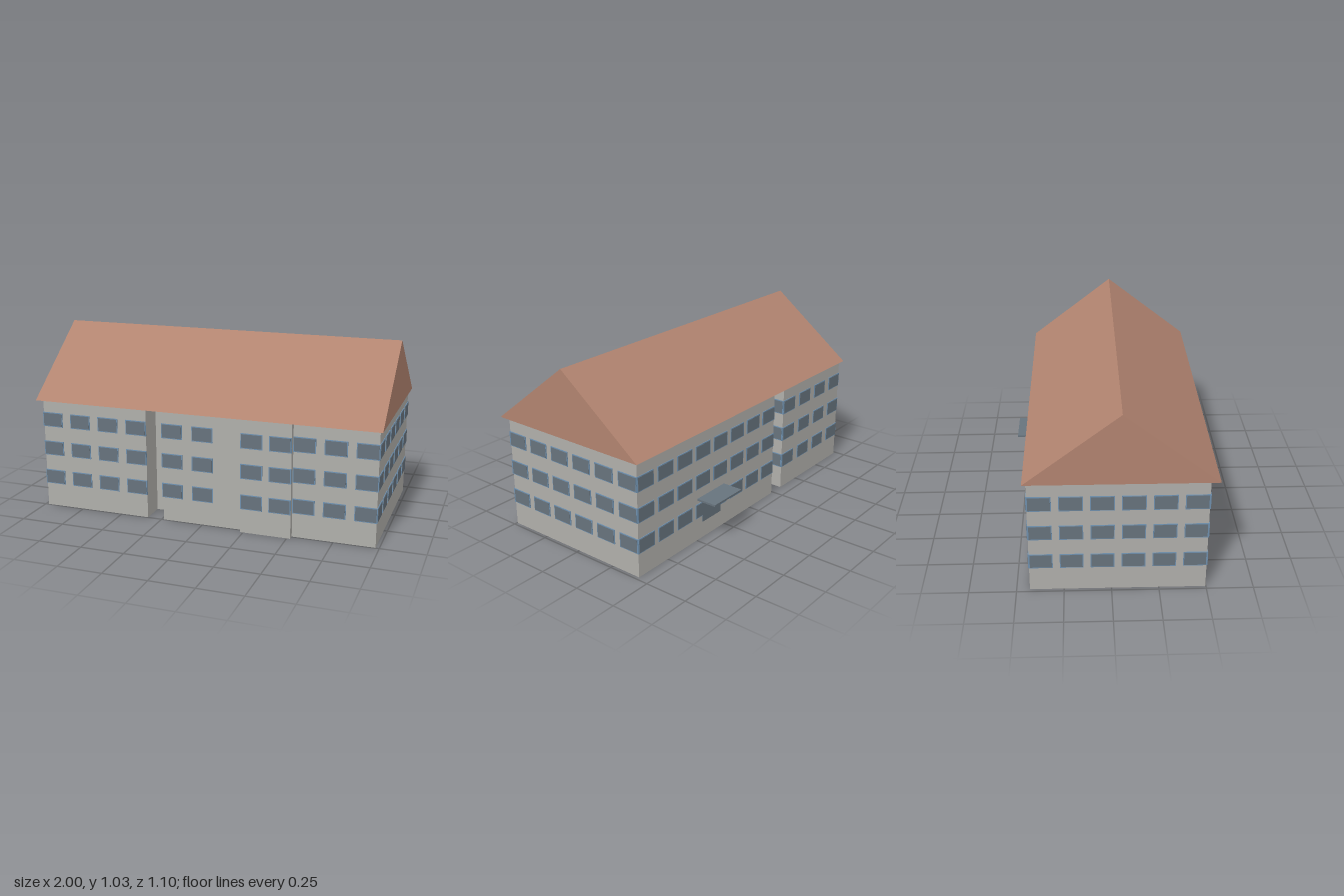
import * as THREE from 'three';

const mat = (name, color) => {
  const m = new THREE.MeshStandardMaterial({ color });
  m.name = name;
  return m;
};

export function createModel() {
  const wall = mat('wall grey', 0xb0afab);
  const tile = mat('roof terracotta', 0xb28470);
  const glass = mat('window slate', 0x67737d);
  const frame = mat('frame blue', 0x6f90ae);

  const model = new THREE.Group();
  model.name = 'building';

  const add = (parent, name, geometry, material, x = 0, y = 0, z = 0) => {
    const mesh = new THREE.Mesh(geometry, material);
    mesh.name = name;
    mesh.position.set(x, y, z);
    parent.add(mesh);
    return mesh;
  };

  const eaves = 0.65, ridge = 1.035;
  const end = 0.98, back = -0.43, front = 0.497, bay = 0.53;
  const gapL = -0.335, gapR = -0.235;

  // Walls: footprint with front and back recesses and a shallow bay
  const footprint = [
    [-end, front], [gapL, front], [gapL, 0.36], [gapR, 0.36], [gapR, front],
    [0.235, front], [0.235, bay], [0.52, bay], [0.52, front], [end, front],
    [end, back], [gapR, back], [gapR, -0.14], [gapL, -0.14], [gapL, back], [-end, back],
  ];
  const plan = new THREE.Shape(footprint.map(([x, z]) => new THREE.Vector2(x, -z)));
  const walls = new THREE.ExtrudeGeometry(plan, { depth: eaves, bevelEnabled: false });
  walls.rotateX(-Math.PI / 2);
  add(model, 'walls', walls, wall);

  // Gabled roof with overhanging eaves
  const gable = new THREE.Shape([
    new THREE.Vector2(-0.545, eaves), new THREE.Vector2(0.45, eaves), new THREE.Vector2(-0.05, ridge),
  ]);
  const roof = new THREE.ExtrudeGeometry(gable, { depth: 2, bevelEnabled: false });
  roof.rotateY(Math.PI / 2);
  add(model, 'roof', roof, tile, -1);

  // Windows: a thin frame with a glass plate, in rows on three floors
  const W = 0.124, H = 0.085, floors = [0.18, 0.356, 0.529];
  const frameGeo = new THREE.BoxGeometry(W, H, 0.008);
  const glassGeo = new THREE.BoxGeometry(W - 0.01, H - 0.01, 0.008);

  // Each row runs along a wall between two outer edges; turn is the wall's facing
  const windowRow = (name, from, to, count, plane, turn, shown = count) => {
    const group = new THREE.Group();
    group.name = name;
    const alongX = turn % 2 === 0;
    for (const y of floors) {
      for (let i = 0; i < shown; i++) {
        const t = from + W / 2 + (i * (to - from - W)) / (count - 1);
        const unit = new THREE.Group();
        unit.name = 'window';
        unit.position.set(alongX ? t : plane, y, alongX ? plane : t);
        unit.rotation.y = (turn * Math.PI) / 2;
        add(unit, 'windowFrame', frameGeo, frame);
        add(unit, 'windowGlass', glassGeo, glass, 0, 0, 0.0015);
        group.add(unit);
      }
    }
    model.add(group);
  };

  windowRow('rightWingFrontWindows', -end - 0.004, gapL, 4, front, 0);
  windowRow('middleFrontWindows', gapR - 0.006, 0.235 + 0.01, 3, front, 0, 2);
  windowRow('bayWindows', 0.235, 0.52, 2, bay, 0);
  windowRow('leftWingFrontWindows', 0.52, end + 0.004, 3, front, 0);
  windowRow('leftGableWindows', back, front, 6, end, 1);
  windowRow('rightGableWindows', back, front, 6, -end, 3);
  windowRow('backWindows', gapR, end, 8, back, 2);
  windowRow('rightWingBackWindows', -end, gapL, 4, back, 2);
  windowRow('recessWindows', back, -0.14, 2, gapR, 3);
  windowRow('recessWindows', back, -0.14, 2, gapL, 1);

  // Back entrance with a flat canopy
  add(model, 'backDoor', new THREE.BoxGeometry(0.16, 0.14, 0.009), glass, 0.373, 0.17, back - 0.002);
  add(model, 'canopy', new THREE.BoxGeometry(0.24, 0.011, 0.12), glass, 0.375, 0.25, back - 0.06);

  return model;
}
